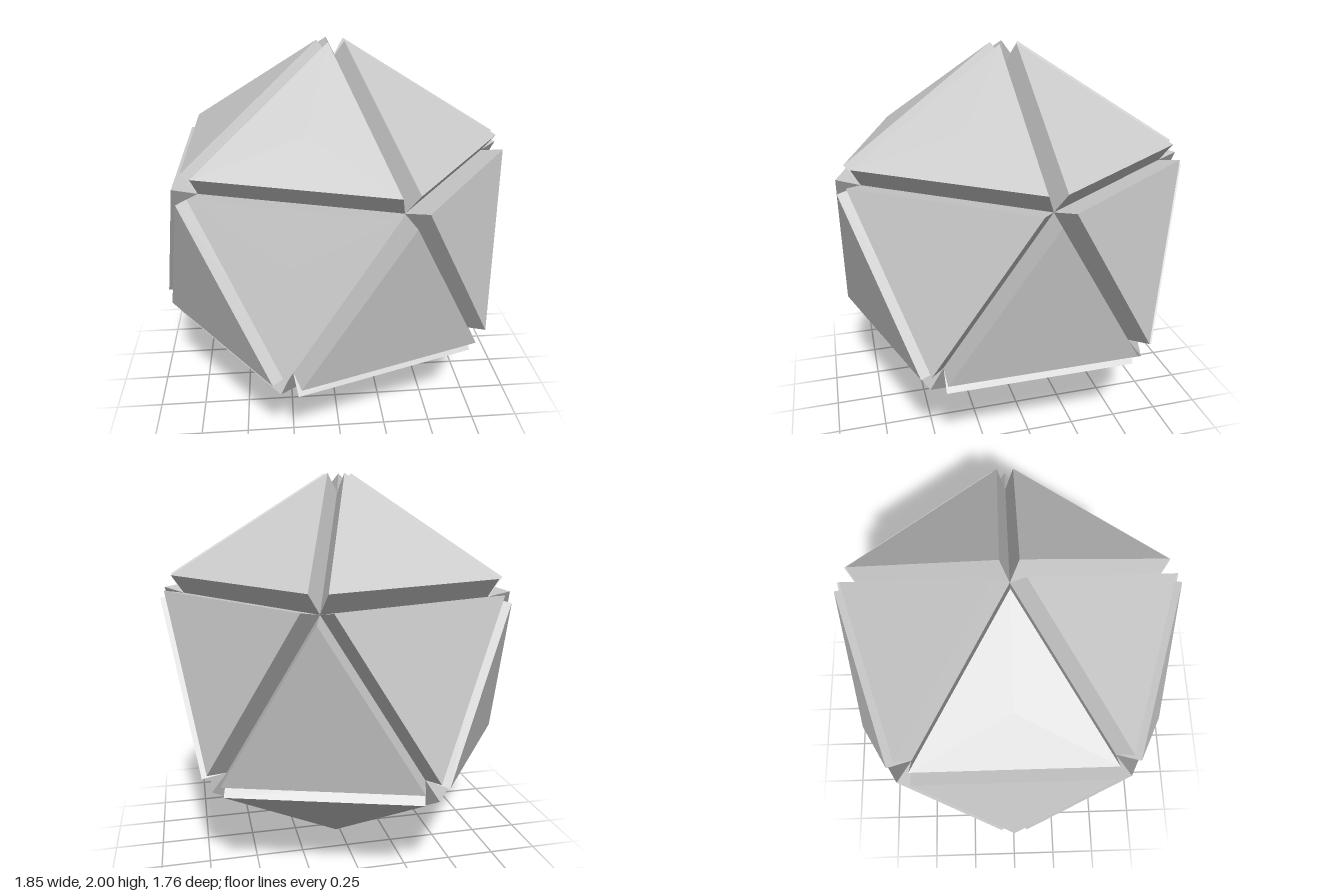
import * as THREE from 'three';

// Icosahedron whose 20 faces each carry a raised triangular plate, leaving V grooves between them
const EDGE = 0.95;
const CIRCUMRADIUS = EDGE * 0.95106;
const INRADIUS = EDGE * 0.75576;
const THICKNESS = (1 - CIRCUMRADIUS) / 0.79465; // plate tips end at y = 0 and y = 2

// Four rings of five plates: elevation and azimuth of the face normal, tip up (1) or down (-1)
const RINGS = [
  { name: 'topPlate', elevation: 52.6226, azimuth: 36, tip: 1 },
  { name: 'upperPlate', elevation: 10.8123, azimuth: 36, tip: -1 },
  { name: 'lowerPlate', elevation: -10.8123, azimuth: 0, tip: 1 },
  { name: 'bottomPlate', elevation: -52.6226, azimuth: 0, tip: -1 },
];

export function createModel() {
  const model = new THREE.Group();
  model.name = 'platedIcosahedron';
  const material = new THREE.MeshStandardMaterial({ color: 0xcccccc, flatShading: true });

  // Triangular prism with its axis on y and one corner towards +z
  const radius = EDGE / Math.sqrt(3);
  const plateGeometry = new THREE.CylinderGeometry(radius, radius, THICKNESS, 3);

  for (const ring of RINGS) {
    const group = new THREE.Group();
    group.name = ring.name + 'Ring';
    for (let i = 0; i < 5; i++) {
      const e = THREE.MathUtils.degToRad(ring.elevation);
      const a = THREE.MathUtils.degToRad(ring.azimuth + 72 * i);
      const normal = new THREE.Vector3(Math.cos(e) * Math.cos(a), Math.sin(e), Math.cos(e) * Math.sin(a));
      const tip = new THREE.Vector3(-Math.sin(e) * Math.cos(a), Math.cos(e), -Math.sin(e) * Math.sin(a))
        .multiplyScalar(ring.tip);
      const side = new THREE.Vector3().crossVectors(normal, tip);

      const plate = new THREE.Mesh(plateGeometry, material);
      plate.name = ring.name + (i + 1);
      plate.quaternion.setFromRotationMatrix(new THREE.Matrix4().makeBasis(side, normal, tip));
      plate.position.copy(normal).multiplyScalar(INRADIUS + THICKNESS / 2);
      group.add(plate);
    }
    group.position.y = 1;
    model.add(group);
  }
  return model;
}
